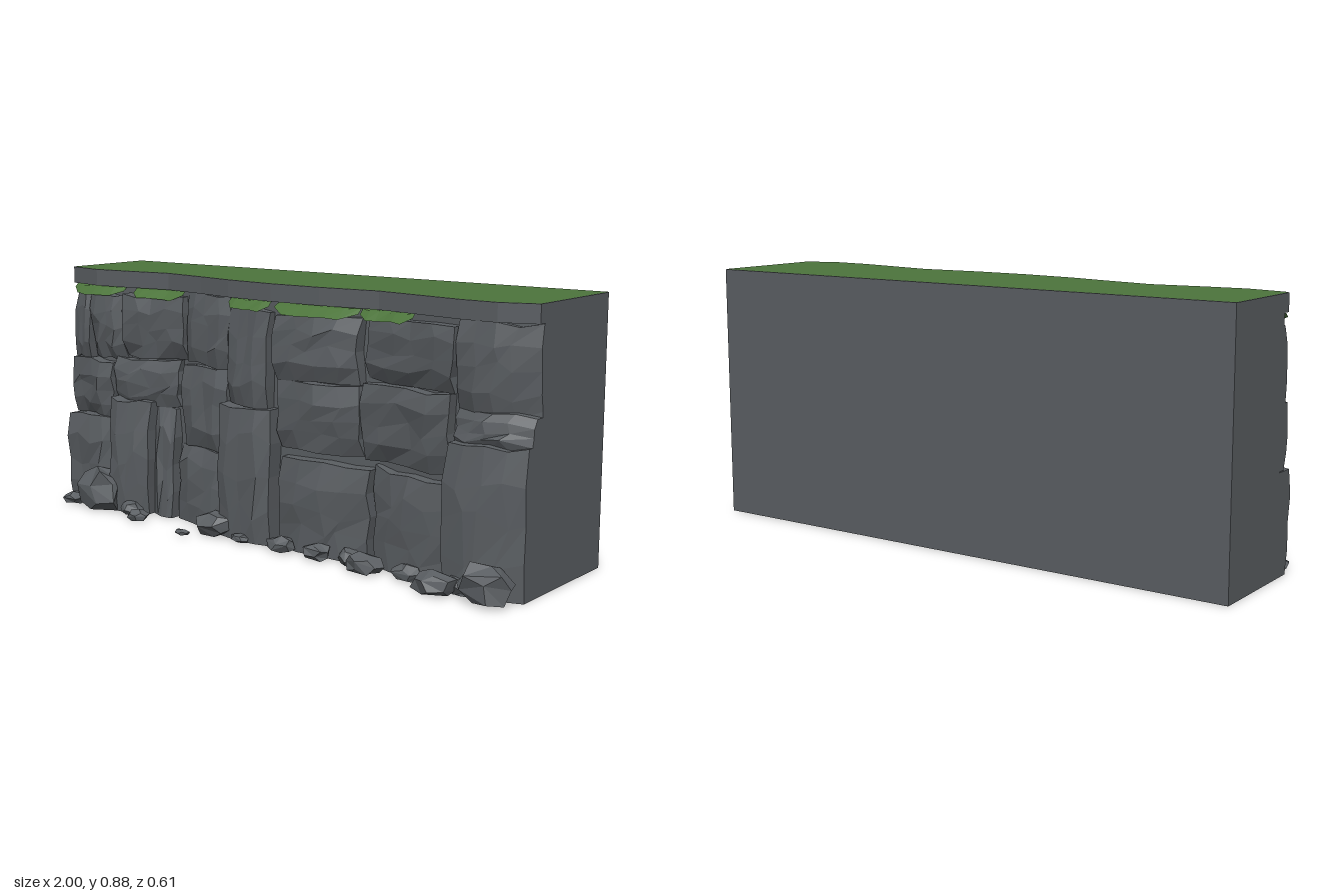
import * as THREE from 'three';

const rock = new THREE.MeshStandardMaterial({ color: 0x5a5e62 });
const grass = new THREE.MeshStandardMaterial({ color: 0x4d753c, side: THREE.DoubleSide });
const BACK = -0.31, TOP = 0.885;

// Front edge of the cliff top, as x, z pairs
const RIM = [[-1, .05], [-.85, .08], [-.7, .065], [-.53, .04], [-.35, .07], [-.2, .1], [0, .12],
  [.2, .12], [.42, .1], [.6, .13], [.75, .155], [.88, .16], [1, .12]];

function rimZ(x) {
  for (let i = 1; i < RIM.length; i++) {
    const [x0, z0] = RIM[i - 1], [x1, z1] = RIM[i];
    if (x <= x1) return z0 + (z1 - z0) * (x - x0) / (x1 - x0);
  }
  return RIM[RIM.length - 1][1];
}

// Repeatable noise from -1 to 1
function noise(a, b, c) {
  const s = Math.sin(a * 127.1 + b * 311.7 + c * 74.7) * 43758.5453;
  return (s - Math.floor(s)) * 2 - 1;
}

const clampX = x => Math.max(-1, Math.min(1, x));

// Moves every vertex by a rule, then gives each face its own flat normal
function warp(geometry, rule) {
  const p = geometry.attributes.position, v = new THREE.Vector3();
  for (let i = 0; i < p.count; i++) {
    rule(v.fromBufferAttribute(p, i));
    p.setXYZ(i, v.x, v.y, v.z);
  }
  const flat = geometry.index ? geometry.toNonIndexed() : geometry;
  flat.computeVertexNormals();
  return flat;
}

function add(group, name, geometry, material) {
  const mesh = new THREE.Mesh(geometry, material);
  mesh.name = name;
  group.add(mesh);
  return mesh;
}

// Outline of the cliff seen from above, shape y pointing to -z
function planShape(inset) {
  const pts = RIM.map(([x, z]) => new THREE.Vector2(x, -(z - inset)));
  pts.push(new THREE.Vector2(1, -BACK), new THREE.Vector2(-1, -BACK));
  return new THREE.Shape(pts);
}

function slab(inset, y0, y1) {
  const g = new THREE.ExtrudeGeometry(planShape(inset), { depth: y1 - y0, bevelEnabled: false });
  return g.rotateX(-Math.PI / 2).translate(0, y0, 0);
}

// Stone block with a rough front face that follows the cliff line
function block(x0, x1, y0, y1, out, seed) {
  const w = x1 - x0, h = y1 - y0;
  const tiltX = noise(seed, 1, 2) * 0.016, tiltY = noise(seed, 3, 4) * 0.012;
  return warp(new THREE.BoxGeometry(1, 1, 1, 4, 4, 1), v => {
    const { x: u, y: t } = v, front = v.z > 0;
    const edgeX = Math.abs(u) > 0.49, edgeY = Math.abs(t) > 0.49;
    const inner = !edgeX && !edgeY;
    const spread = inner ? 0.09 : 0;
    const nu = u + noise(u, t, seed) * spread, nt = t + noise(t, u, seed + 9) * spread;
    v.x = x0 + w * (nu + 0.5);
    v.y = y0 + h * (nt + 0.5);
    if (Math.abs(v.x) < 0.995) v.x += noise(t, 5, seed) * 0.008;
    if (v.y > 0.005) v.y += noise(u, 6, seed) * 0.008;
    v.x = clampX(v.x);
    if (!front) { v.z = rimZ(v.x) - 0.1; return; }
    const onSide = Math.abs(v.x) > 0.995;
    v.z = rimZ(v.x) + out + tiltX * u * 2 + tiltY * t * 2 + noise(u, t, seed + 20) * 0.007;
    if (edgeX && !onSide) v.z -= 0.012;
    if (edgeY && v.y > 0.02) v.z -= 0.014;
  });
}

// x0, x1, y0, y1, distance in front of the cliff line
const BLOCKS = [
  // top course
  [-1, -.895, .55, .79, .01], [-.885, -.725, .56, .795, .015], [-.715, -.45, .575, .8, .025],
  [-.44, -.21, .575, .825, .005], [-.2, -.005, .46, .79, .02], [.025, .355, .575, .79, .025],
  [.37, .735, .6, .805, .015], [.745, 1, .54, .82, 0],
  // middle course
  [-1, -.775, .34, .55, .02], [-.765, -.48, .4, .57, .015], [-.45, -.215, .28, .57, .01],
  [.03, .355, .34, .57, .015], [.365, .725, .34, .59, .02], [.74, 1, .44, .55, .015],
  // bottom course
  [-1, -.78, 0, .34, .03], [-.6, -.5, 0, .4, .02], [-.49, -.215, 0, .27, .015],
  [.045, .405, 0, .31, .03], [.415, .725, 0, .32, .03],
];

// Taller blocks standing out at the foot
const BUTTRESSES = [
  [-.765, -.6, 0, .42, .055], [-.215, .02, 0, .46, .05], [.735, 1, 0, .46, .06],
];

// Grassy shelf on top of a block, sloping down to its front
function ledge(x0, x1, out, seed) {
  return warp(new THREE.PlaneGeometry(1, 1, 6, 2), v => {
    const u = v.x, f = 0.5 - v.y;
    const swell = Math.abs(u) > 0.49 ? 0.55 : 1;
    v.x = clampX(x0 + (x1 - x0) * (u + 0.5));
    v.y = 0.828 - 0.036 * f * f * swell + noise(u, f, seed) * 0.003;
    v.z = rimZ(v.x) - 0.035 + (out + 0.035) * f * swell;
  });
}

const LEDGES = [[-1, -.73, .02], [-.68, -.45, .035], [-.2, -.01, .025], [.02, .35, .04], [.35, .56, .022]];

// Faceted boulder resting on the ground
function boulder(x, z, w, h, d, seed) {
  return warp(new THREE.DodecahedronGeometry(1, 0), v => {
    const k = 1 + 0.16 * noise(Math.round(v.x * 50), Math.round(v.y * 50), Math.round(v.z * 50) + seed);
    v.applyAxisAngle(new THREE.Vector3(0.3, 0.9, 0.3).normalize(), seed * 1.7);
    v.x = clampX(x + v.x * k * w / 2);
    v.y = Math.min(h, Math.max(0, h * (0.42 + 0.6 * v.y * k)));
    v.z = z + v.z * k * d / 2;
  });
}

// x, z, width, height, depth
const BOULDERS = [
  [-.95, .12, .1, .045, .08], [-.81, .125, .2, .16, .11], [-.66, .12, .1, .05, .08],
  [-.575, .175, .09, .045, .07], [-.32, .215, .06, .02, .035], [-.23, .145, .17, .085, .11],
  [-.1, .165, .08, .03, .05], [.08, .165, .11, .055, .08], [.23, .17, .11, .055, .08],
  [.35, .15, .09, .05, .07], [.44, .195, .13, .065, .09], [.6, .185, .12, .055, .08],
  [.73, .245, .15, .075, .1], [.8, .2, .1, .06, .07], [.91, .245, .19, .128, .12],
];

export function createModel() {
  const model = new THREE.Group();
  model.name = 'cliffSection';

  // Solid body with overhanging top layer
  add(model, 'cliffCore', slab(0.03, 0, 0.83), rock);
  add(model, 'topLayer', slab(0, 0.825, TOP - 0.001), rock);
  const turf = new THREE.ShapeGeometry(planShape(0)).rotateX(-Math.PI / 2).translate(0, TOP, 0);
  add(model, 'grassTop', turf, grass);

  // Stone face
  const face = new THREE.Group();
  face.name = 'stoneFace';
  BLOCKS.forEach((b, i) => add(face, 'stoneBlock', block(...b, i + 1), rock));
  BUTTRESSES.forEach((b, i) => add(face, 'buttress', block(...b, i + 41), rock));
  model.add(face);

  LEDGES.forEach((l, i) => add(model, 'grassLedge', ledge(...l, i + 1), grass));

  // Fallen rocks along the foot
  const rubble = new THREE.Group();
  rubble.name = 'rubble';
  BOULDERS.forEach((b, i) => add(rubble, 'boulder', boulder(...b, i + 1), rock));
  model.add(rubble);
  return model;
}
